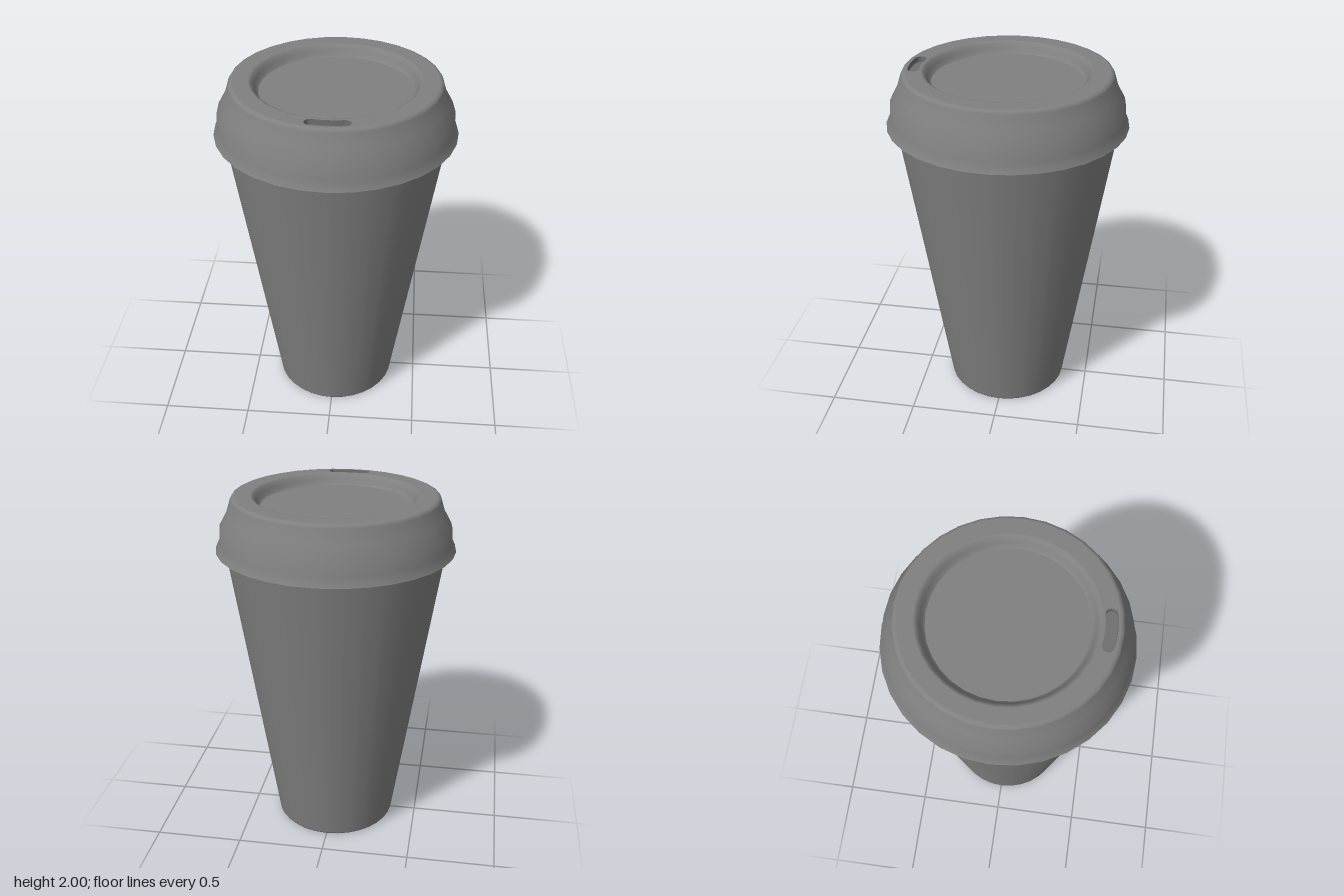
import * as THREE from 'three';

const SIDES = 32;
const RIM_OUT = 0.548, RIM_IN = 0.466;
const GREY = 0x808080, DARK = 0x707070;
const paint = (color = GREY, side = THREE.FrontSide) => new THREE.MeshStandardMaterial({ color, side });

// Smooth surface of revolution; separate calls meet in a sharp edge
function lathe(name, profile, side) {
  const points = profile.map(([r, y]) => new THREE.Vector2(r, y));
  const mesh = new THREE.Mesh(new THREE.LatheGeometry(points, SIDES), paint(GREY, side));
  mesh.name = name;
  return mesh;
}

// Regular polygon whose corners match the lathe segments
function ring(r) {
  return Array.from({ length: SIDES }, (_, i) => {
    const a = (i / SIDES) * Math.PI * 2;
    return new THREE.Vector2(r * Math.cos(a), r * Math.sin(a));
  });
}

// Slot with round ends, bent along the rim at the front
function slotPoints() {
  const mid = 0.506, half = 0.0315, spread = 0.17, front = -Math.PI / 2;
  const points = [];
  const arc = (cx, cy, r, from, to) => {
    for (let i = 0; i < 8; i++) {
      const a = from + (to - from) * (i / 8);
      points.push(new THREE.Vector2(cx + r * Math.cos(a), cy + r * Math.sin(a)));
    }
  };
  const a0 = front - spread, a1 = front + spread;
  arc(0, 0, mid + half, a0, a1);
  arc(mid * Math.cos(a1), mid * Math.sin(a1), half, a1, a1 + Math.PI);
  arc(0, 0, mid - half, a1, a0);
  arc(mid * Math.cos(a0), mid * Math.sin(a0), half, a0 + Math.PI, a0 + 2 * Math.PI);
  return points;
}

export function createModel() {
  const model = new THREE.Group();

  // Cup: raised base, thin standing rim and tapered wall
  const cup = new THREE.Group();
  cup.name = 'cup';
  cup.add(
    lathe('cupBase', [[0, 0.115], [0.332, 0.115]]),
    lathe('baseRim', [[0.332, 0.115], [0.331, 0.008], [0.336, 0], [0.344, 0], [0.35, 0.008]]),
    lathe('cupWall', [[0.35, 0.008], [0.612, 1.7], [0.625, 1.79]])
  );

  // Lid: flared lip flowing into the wall, and a sunken centre
  const lid = new THREE.Group();
  lid.name = 'lid';
  lid.add(
    lathe('lipInside', [[0.618, 1.76], [0.632, 1.752], [0.655, 1.704], [0.666, 1.704]], THREE.DoubleSide),
    lathe('lidWall', [[0.666, 1.704], [0.643, 1.755], [0.64, 1.83], [0.598, 1.905],
      [0.574, 1.982], [0.567, 1.994], [0.555, 2], [RIM_OUT, 2]]),
    lathe('lidRecess', [[RIM_IN, 2], [0.46, 2], [0.447, 1.992], [0.434, 1.97], [0.424, 1.949], [0.413, 1.94]]),
    lathe('lidCentre', [[0.413, 1.94], [0, 1.94]])
  );

  // Flat rim on top, cut by the drinking slot
  const slot = slotPoints();
  const rimShape = new THREE.Shape(ring(RIM_OUT));
  rimShape.holes.push(new THREE.Path(ring(RIM_IN)), new THREE.Path(slot));
  const rim = new THREE.Mesh(new THREE.ShapeGeometry(rimShape).rotateX(-Math.PI / 2), paint());
  rim.name = 'lidRim';
  rim.position.y = 2;

  // Pocket under the slot, seen from its inside
  const pocketGeometry = new THREE.ExtrudeGeometry(new THREE.Shape(slot), { depth: 0.03, bevelEnabled: false });
  const pocket = new THREE.Mesh(pocketGeometry.rotateX(-Math.PI / 2), paint(DARK, THREE.BackSide));
  pocket.name = 'drinkingSlot';
  pocket.position.y = 1.97;
  lid.add(rim, pocket);

  model.add(cup, lid);
  return model;
}
